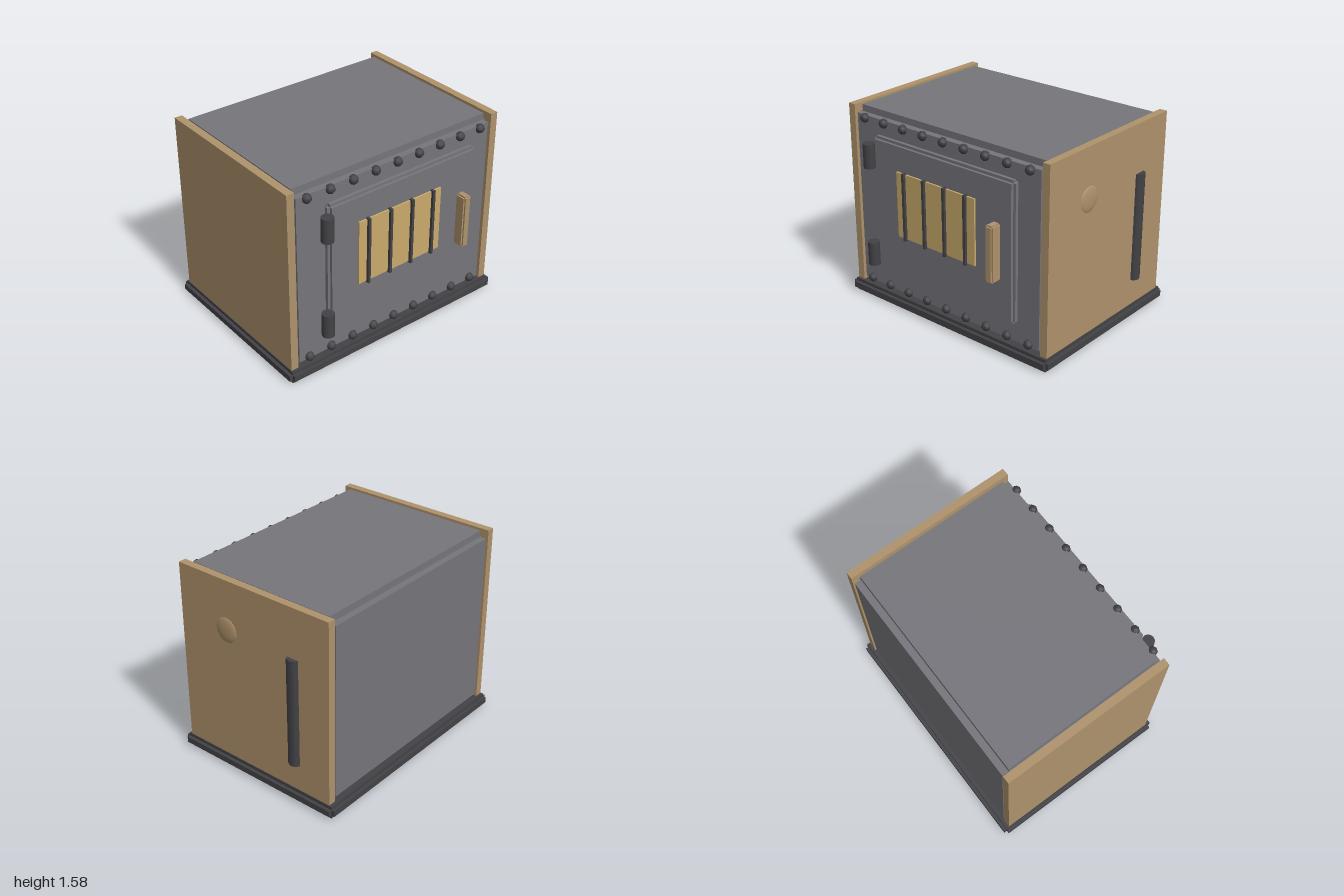
import * as THREE from 'three';

export function createModel() {
  const root = new THREE.Group();
  root.name = 'ironCabinet';
  const paint = (name, color) => {
    const m = new THREE.MeshStandardMaterial({ color });
    m.name = name;
    return m;
  };
  const steel = paint('grey steel', 0x76757b);
  const iron = paint('dark iron', 0x434347);
  const wood = paint('tan panel', 0xae926b);
  const amber = paint('amber glass', 0xcaaa6c);

  const CX = -0.005; // centre line of the cabinet

  const add = (parent, name, geometry, material, x, y, z) => {
    const mesh = new THREE.Mesh(geometry, material);
    mesh.name = name;
    mesh.position.set(x, y, z);
    parent.add(mesh);
    return mesh;
  };

  // Box between two corners
  const block = (parent, name, material, a, b) => add(
    parent, name,
    new THREE.BoxGeometry(b[0] - a[0], b[1] - a[1], b[2] - a[2]), material,
    (a[0] + b[0]) / 2, (a[1] + b[1]) / 2, (a[2] + b[2]) / 2);

  // Box with stepped edges: three crossing boxes, each full length along one axis
  const steppedBlock = (name, material, a, b, step) => {
    const group = new THREE.Group();
    group.name = name;
    for (let axis = 0; axis < 3; axis++) {
      block(group, name + 'XYZ'[axis], material,
        a.map((v, i) => (i === axis ? v : v + step)),
        b.map((v, i) => (i === axis ? v : v - step)));
    }
    root.add(group);
  };

  // Plinth, body and door
  steppedBlock('base', iron, [CX - 0.995, 0, -0.803], [CX + 0.995, 0.1, 0.691], 0.026);
  steppedBlock('body', steel, [CX - 0.937, 0.075, -0.745], [CX + 0.937, 1.57, 0.635], 0.053);
  steppedBlock('door', steel, [-0.663, 0.294, 0.635], [0.7, 1.406, 0.705], 0.022);

  // Side panels
  for (const s of [-1, 1]) {
    add(root, s > 0 ? 'leftPanel' : 'rightPanel',
      new THREE.BoxGeometry(0.062, 1.48, 1.398), wood, CX + s * 0.933, 0.84, -0.054);
  }

  // Barred window
  block(root, 'window', amber, [-0.412, 0.663, 0.71], [0.353, 1.187, 0.719]);
  for (let i = 0; i < 4; i++) {
    add(root, 'windowBar', new THREE.BoxGeometry(0.022, 0.545, 0.036), iron,
      -0.33 + i * 0.2, 0.924, 0.722);
  }
  block(root, 'windowBacking', amber, [-0.412, 0.663, 0.7], [0.353, 1.187, 0.71]);

  // Door handle and hinges
  steppedBlock('handle', wood, [0.519, 0.627, 0.706], [0.588, 1.07, 0.803], 0.012);
  const hinge = new THREE.CylinderGeometry(0.048, 0.048, 0.193, 12);
  for (const y of [0.439, 1.247]) add(root, 'hinge', hinge, iron, -0.69, y, 0.72);

  // Rivet rows
  const rivet = new THREE.SphereGeometry(0.037, 8, 6);
  for (const y of [0.152, 1.497]) {
    for (let i = 0; i < 9; i++) add(root, 'rivet', rivet, iron, -0.803 + i * 0.199, y, 0.642);
  }

  // Round boss and upright pipe on the left side
  add(root, 'boss', new THREE.SphereGeometry(0.1, 24, 16), wood, 0.956, 1.183, 0.195)
    .scale.x = 0.18;
  add(root, 'pipe', new THREE.CylinderGeometry(0.056, 0.056, 0.872, 8), iron,
    0.944, 0.751, -0.43);

  return root;
}
